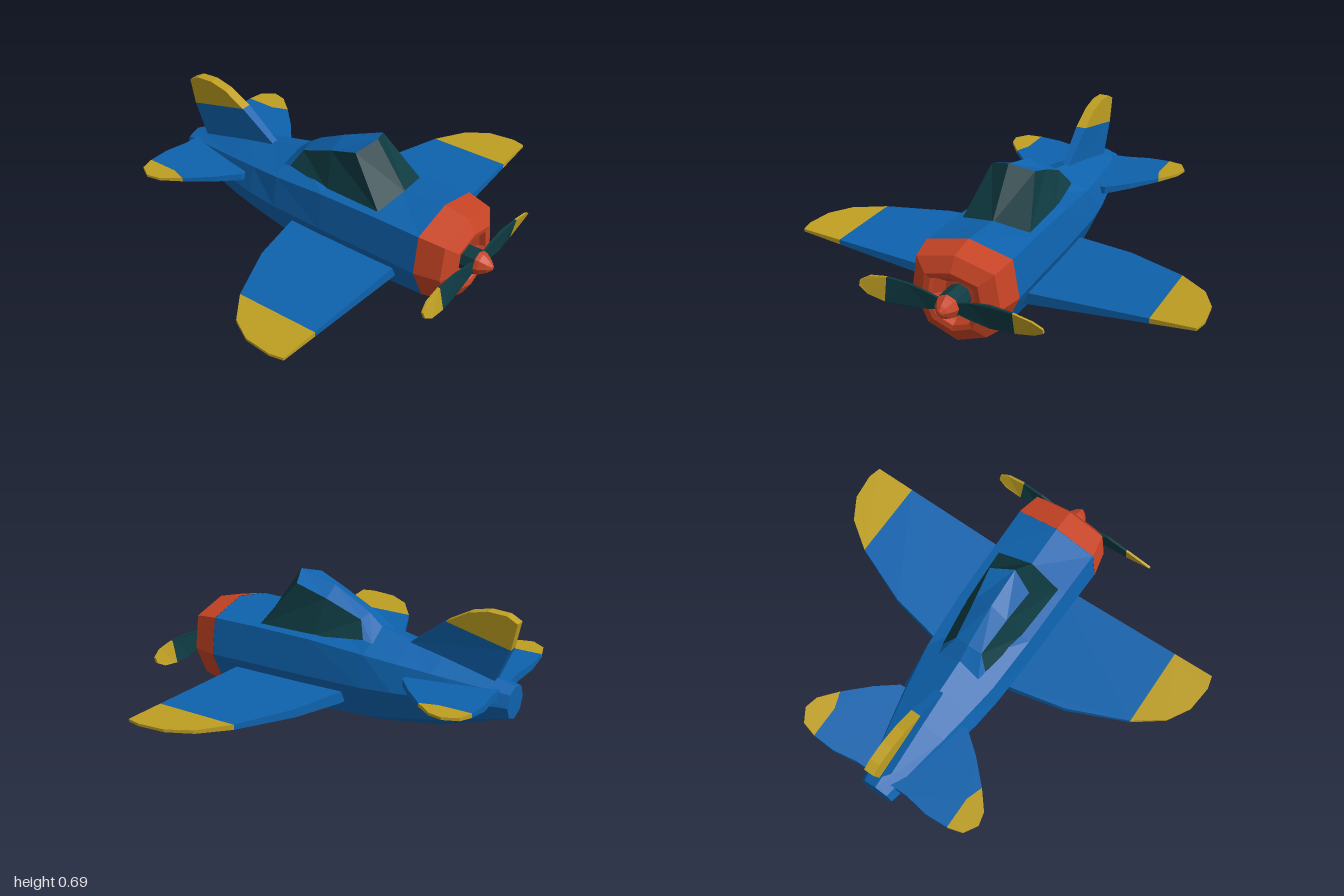
import * as THREE from 'three';

const paint = (color, side = THREE.FrontSide) =>
  new THREE.MeshStandardMaterial({ color, side, flatShading: true });
const blue = paint(0x0e62ad), red = paint(0xc84425), yellow = paint(0xbe9e22), dark = paint(0x0e3b42);
const V = (x, y, z) => new THREE.Vector3(x, y, z);

function add(group, name, geometry, material) {
  const mesh = new THREE.Mesh(geometry, material);
  mesh.name = name;
  group.add(mesh);
  return mesh;
}

function fromTriangles(points) {
  const g = new THREE.BufferGeometry().setFromPoints(points);
  g.computeVertexNormals();
  return g;
}

// Eight-sided cross-section: top, shoulder, side, lower and bottom points, mirrored
function section([z, top, ux, uy, mx, my, lx, ly, bottom]) {
  return [V(0, top, z), V(-ux, uy, z), V(-mx, my, z), V(-lx, ly, z),
    V(0, bottom, z), V(lx, ly, z), V(mx, my, z), V(ux, uy, z)];
}

// Skin between rings listed nose to tail, with optional end caps
function loft(rings, capEnd) {
  const tris = [];
  const n = rings[0].length;
  const cap = (ring, flip) => {
    for (let j = 1; j < n - 1; j++) {
      tris.push(ring[0], ring[flip ? j + 1 : j], ring[flip ? j : j + 1]);
    }
  };
  cap(rings[0], false);
  for (let i = 0; i < rings.length - 1; i++) {
    const a = rings[i], b = rings[i + 1];
    for (let j = 0; j < n; j++) {
      const k = (j + 1) % n;
      tris.push(a[j], b[j], a[k], a[k], b[j], b[k]);
    }
  }
  if (capEnd) cap(rings[rings.length - 1], true);
  return fromTriangles(tris);
}

// Plate from a flat outline; the rule places each corner (a, b, c = -1 or 1)
function plate(outline, rule) {
  const shape = new THREE.Shape(outline.map(([a, b]) => new THREE.Vector2(a, b)));
  const g = new THREE.ExtrudeGeometry(shape, { depth: 2, bevelEnabled: false });
  g.translate(0, 0, -1);
  const p = g.attributes.position;
  for (let i = 0; i < p.count; i++) p.setXYZ(i, ...rule(p.getX(i), p.getY(i), p.getZ(i)));
  g.computeVertexNormals();
  return g;
}

function addLiftingSurface(group, name, inner, tip, rule) {
  for (const [side, s] of [['left', 1], ['right', -1]]) {
    const build = (pts) => plate(pts.map(([x, z]) => [s * x, -z]),
      (a, b, c) => [a, rule(Math.abs(a), -b, c), -b]);
    add(group, `${side}${name}`, build(inner), blue);
    add(group, `${side}${name}Tip`, build(tip), yellow);
  }
}

function addCanopy(group) {
  const glass = [], shell = [];
  const quad = (list, a, b, c, d) => list.push(a, b, c, a, c, d);
  for (const s of [1, -1]) {
    const P = (x, y, z) => V(s * x, y, z);
    const base = [P(0.17, 0.445, 0.37), P(0.157, 0.438, 0.08), P(0.12, 0.455, -0.165)];
    const edge = [P(0.108, 0.66, 0.2), P(0.088, 0.605, 0.05), P(0.07, 0.53, -0.125), P(0.11, 0.44, -0.21)];
    const ridge = [P(0, 0.695, 0.245), P(0, 0.647, 0.056), P(0, 0.545, -0.13), P(0, 0.485, -0.2)];
    // Windscreen half and side window
    quad(glass, P(0, 0.47, 0.405), base[0], edge[0], ridge[0]);
    quad(glass, base[0], base[1], edge[1], edge[0]);
    quad(glass, base[1], base[2], edge[2], edge[1]);
    // Roof and rear fairing
    for (let i = 0; i < 3; i++) quad(shell, ridge[i], edge[i], edge[i + 1], ridge[i + 1]);
    shell.push(edge[2], base[2], edge[3]);
  }
  add(group, 'canopyGlass', fromTriangles(glass), paint(0x0e3b42, THREE.DoubleSide));
  add(group, 'canopyRoof', fromTriangles(shell), paint(0x0e62ad, THREE.DoubleSide));
}

function addPropeller(group) {
  const prop = new THREE.Group();
  prop.name = 'propeller';
  prop.position.set(0, 0.26, 0.795);
  group.add(prop);
  const rule = (x, y, c) => [x, y, c * 0.006 + y * Math.max(0, x - 0.15) * 1.3];
  const inner = [[0.02, -0.02], [0.1, -0.04], [0.2, -0.057], [0.31, -0.054],
    [0.31, 0.054], [0.2, 0.057], [0.1, 0.04], [0.02, 0.02]];
  const tip = [[0.31, -0.054], [0.4, -0.038], [0.445, -0.012], [0.445, 0.012], [0.4, 0.038], [0.31, 0.054]];
  for (const [name, turn] of [['leftBlade', 0], ['rightBlade', Math.PI]]) {
    add(prop, name, plate(inner, rule), dark).rotation.z = turn;
    add(prop, name + 'Tip', plate(tip, rule), yellow).rotation.z = turn;
  }
  // Hub and pointed spinner
  const hub = new THREE.CylinderGeometry(0.058, 0.058, 0.1, 8).rotateX(Math.PI / 2);
  add(prop, 'hub', hub.translate(0, 0, -0.045), dark);
  const profile = [[0, 0], [0.058, 0], [0.052, 0.025], [0.03, 0.058], [0.012, 0.075], [0, 0.078]];
  const cone = new THREE.LatheGeometry(profile.map(([r, h]) => new THREE.Vector2(r, h)), 8);
  add(prop, 'spinner', cone.rotateX(Math.PI / 2), red);
}

export function createModel() {
  const plane = new THREE.Group();
  plane.name = 'airplane';

  // Fuselage: z, top, shoulder x/y, side x/y, lower x/y, bottom
  const nose = [0.61, 0.49, 0.21, 0.44, 0.24, 0.26, 0.16, 0.09, 0.03];
  const stations = [
    nose,
    [0.38, 0.478, 0.205, 0.44, 0.235, 0.262, 0.16, 0.085, 0.014],
    [0.08, 0.475, 0.2, 0.435, 0.228, 0.262, 0.155, 0.083, 0.005],
    [-0.2, 0.487, 0.185, 0.412, 0.215, 0.262, 0.145, 0.095, 0.016],
    [-0.36, 0.455, 0.16, 0.392, 0.198, 0.267, 0.13, 0.117, 0.042],
    [-0.52, 0.425, 0.132, 0.372, 0.165, 0.272, 0.11, 0.14, 0.07],
    [-0.87, 0.345, 0.062, 0.325, 0.085, 0.27, 0.06, 0.213, 0.19],
  ];
  add(plane, 'fuselage', loft(stations.map(section), true), blue);

  // Cowling: recessed intake, rolled lip, then the outer skin
  const cowlRings = [[0.7, 0.3], [0.74, 0.46], [0.765, 0.5], [0.77, 0.61], [0.732, 0.9], [0.61, 1.005]];
  add(plane, 'cowling', loft(cowlRings.map(([z, k]) =>
    section(nose).map((p) => V(p.x * k, 0.26 + (p.y - 0.26) * k, z)))), red);

  addCanopy(plane);
  addPropeller(plane);

  // Main wings rise and thin towards the tips
  addLiftingSurface(plane, 'Wing',
    [[0.1, 0.485], [0.1, -0.11], [0.22, -0.095], [0.49, -0.04], [0.78, 0.08], [0.78, 0.485]],
    [[0.78, 0.485], [0.78, 0.08], [0.92, 0.18], [0.985, 0.29], [1, 0.42], [0.985, 0.485]],
    (x, z, c) => 0.17 + 0.077 * x + c * (0.034 - 0.028 * x));

  // Tailplane
  addLiftingSurface(plane, 'Tailplane',
    [[0.03, -0.41], [0.19, -0.41], [0.29, -0.49], [0.4, -0.6], [0.372, -0.68],
      [0.372, -0.835], [0.26, -0.84], [0.14, -0.82], [0.03, -0.82]],
    [[0.4, -0.6], [0.47, -0.685], [0.485, -0.75], [0.445, -0.815], [0.372, -0.835], [0.372, -0.68]],
    (x, z, c) => 0.31 + 0.1 * x + c * (0.026 - 0.042 * x));

  // Tail fin, outlined as (-z, y), with a narrower leading edge
  const finRule = (a, b, c) => [c * (a < 0.5 ? 0.018 : 0.025), b, -a];
  add(plane, 'fin', plate([[0.356, 0.452], [0.45, 0.36], [0.772, 0.34], [0.845, 0.515], [0.53, 0.588]], finRule), blue);
  add(plane, 'finTip', plate([[0.53, 0.588], [0.845, 0.515], [0.87, 0.64], [0.82, 0.667],
    [0.73, 0.672], [0.64, 0.65]], finRule), yellow);

  return plane;
}
